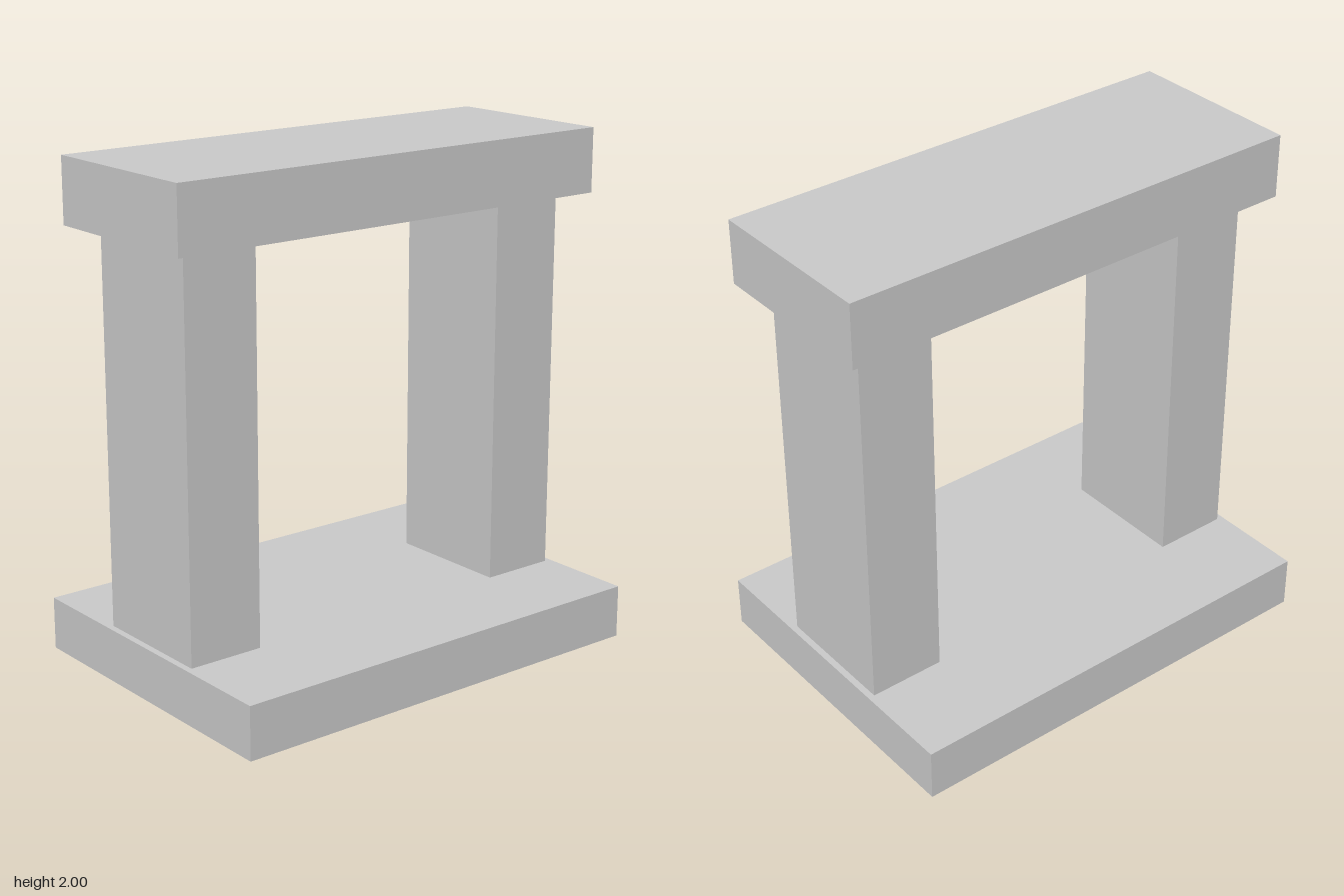
import * as THREE from 'three';

const material = new THREE.MeshStandardMaterial({ color: 0xcccccc, flatShading: true });

// A block centred on z = 0, spanning y0 to y1
function block(name, width, depth, y0, y1, x = 0) {
  const mesh = new THREE.Mesh(new THREE.BoxGeometry(width, y1 - y0, depth), material);
  mesh.name = name;
  mesh.position.set(x, (y0 + y1) / 2, 0);
  return mesh;
}

export function createModel() {
  const group = new THREE.Group();
  group.name = 'stoneGate';

  const baseTop = 0.21;
  const lintelBottom = 1.745;

  // Wide slab on the ground
  group.add(block('base', 1.815, 1.296, 0, baseTop));

  // Mirrored pair of uprights
  for (const [name, side] of [['leftPillar', 1], ['rightPillar', -1]]) {
    group.add(block(name, 0.307, 0.517, baseTop, lintelBottom, side * 0.728));
  }

  // Overhanging beam across the top
  group.add(block('lintel', 1.943, 0.725, lintelBottom, 2));

  return group;
}
